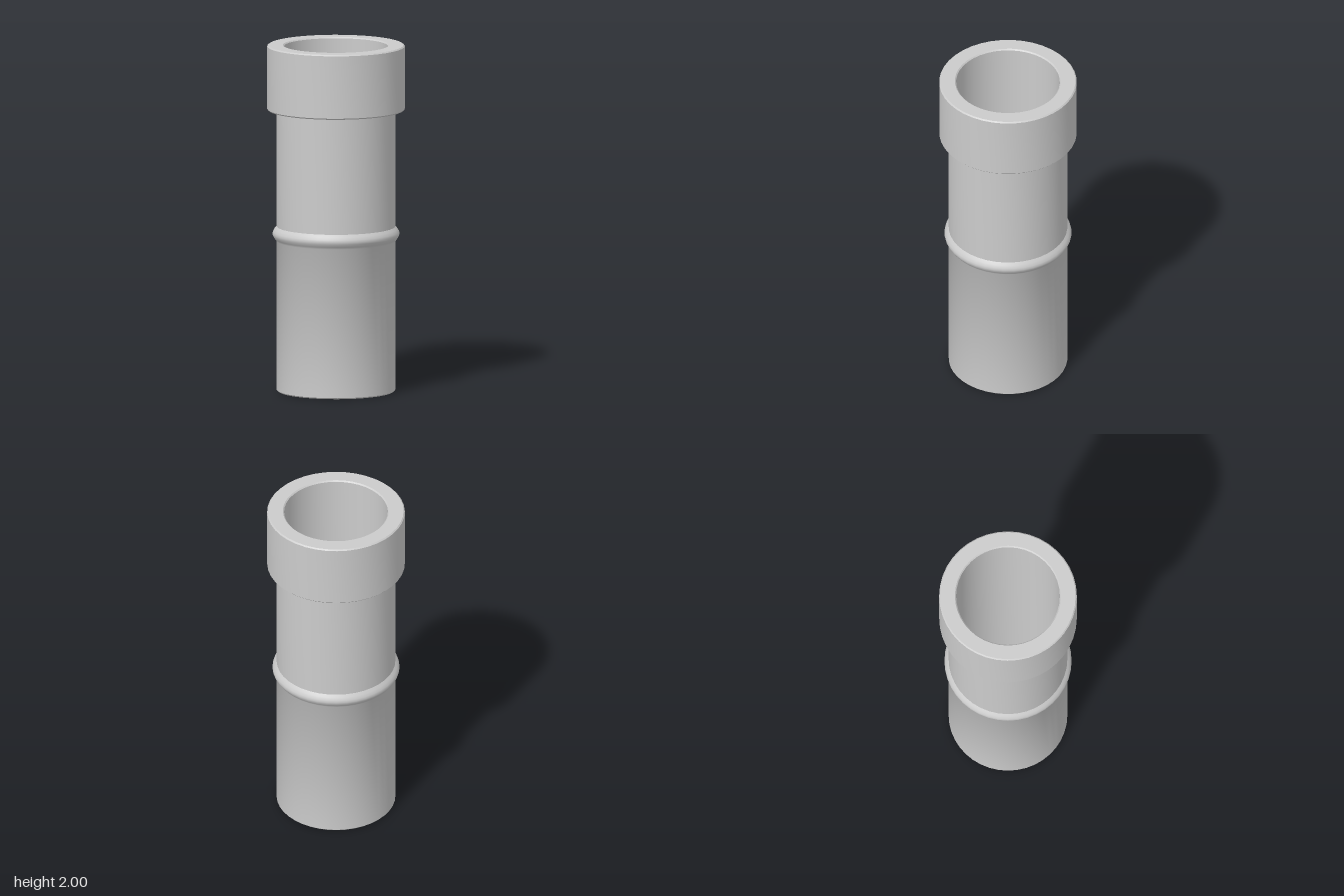
import * as THREE from 'three';
import { toCreasedNormals } from 'three/addons/utils/BufferGeometryUtils.js';

const SEGMENTS = 40;
const material = new THREE.MeshStandardMaterial({ color: 0xcccccc });

// Revolves an [radius, height] profile, keeping hard edges sharp
function lathe(name, profile) {
  const points = profile.map(([r, y]) => new THREE.Vector2(r, y));
  const geometry = toCreasedNormals(new THREE.LatheGeometry(points, SEGMENTS), 0.7);
  const mesh = new THREE.Mesh(geometry, material);
  mesh.name = name;
  return mesh;
}

export function createModel() {
  const group = new THREE.Group();
  group.name = 'collaredTube';

  const R = 0.34, bore = 0.297, collarR = 0.394, bevel = 0.007;
  const collarBottom = 1.625, floor = 0.04;

  // Closed base and outer wall, with the bead swelling out of it
  group.add(lathe('tubeWall', [
    [0, 0], [R - bevel, 0], [R, bevel],
    [R, 0.867], [0.35, 0.88], [0.361, 0.897], [0.364, 0.91],
    [0.361, 0.923], [0.352, 0.938], [R, 0.952],
    [R, collarBottom],
  ]));

  // Thick collar with softened edges
  group.add(lathe('collar', [
    [R, collarBottom], [collarR - bevel, collarBottom], [collarR, collarBottom + bevel],
    [collarR, 2 - bevel], [collarR - bevel, 2],
    [bore + bevel, 2], [bore, 2 - bevel],
  ]));

  // Hollow inside, running down to the floor
  group.add(lathe('bore', [[bore, 2 - bevel], [bore, floor], [0, floor]]));

  return group;
}
